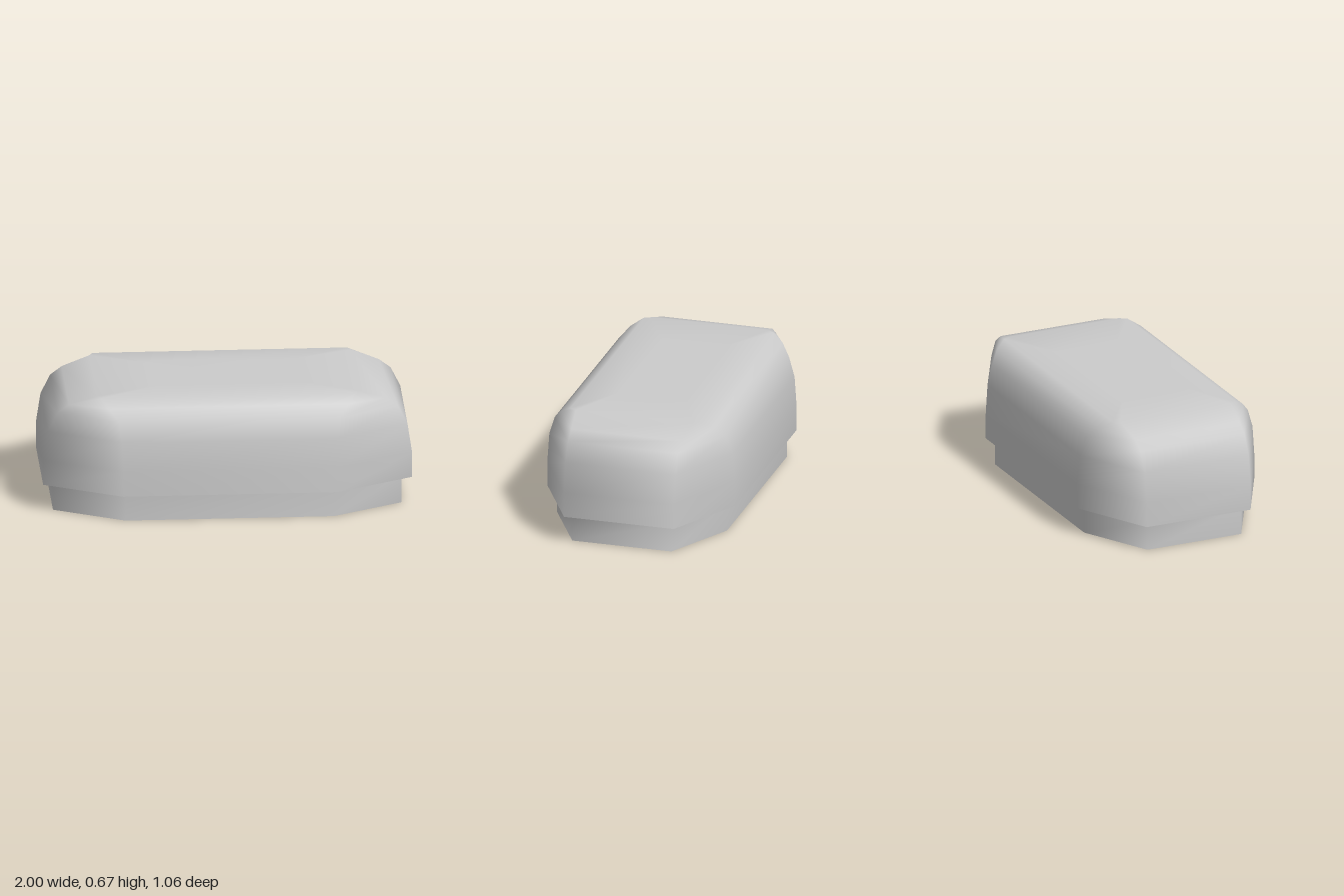
import * as THREE from 'three';

// Chamfered-rectangle section: half length X, half depth Z, and where the
// chamfer starts on the long side (cx) and on the end (cz).
// ySide / yEnd are the heights of the long-side and end corners.
function section([X, Z, cx, cz, ySide, yEnd = ySide]) {
  return [
    [X, yEnd, cz], [X, yEnd, -cz], [cx, ySide, -Z], [-cx, ySide, -Z],
    [-X, yEnd, -cz], [-X, yEnd, cz], [-cx, ySide, Z], [cx, ySide, Z],
  ];
}

// Joins sections from bottom to top; caps share vertices when smooth.
function loft(sections, smoothTop) {
  const pos = [], index = [];
  const n = 8;
  const add = (ring) => {
    const start = pos.length / 3;
    ring.forEach((p) => pos.push(...p));
    return start;
  };
  const rings = sections.map(section);
  const starts = rings.map(add);
  for (let r = 0; r < starts.length - 1; r++) {
    for (let i = 0; i < n; i++) {
      const j = (i + 1) % n;
      const a = starts[r] + i, b = starts[r] + j;
      const c = starts[r + 1] + j, d = starts[r + 1] + i;
      index.push(a, b, c, a, c, d);
    }
  }
  const last = rings.length - 1;
  const top = smoothTop ? starts[last] : add(rings[last]);
  const bottom = add(rings[0]);
  for (let i = 1; i < n - 1; i++) {
    index.push(top, top + i, top + i + 1);
    index.push(bottom, bottom + i + 1, bottom + i);
  }
  const geometry = new THREE.BufferGeometry();
  geometry.setAttribute('position', new THREE.Float32BufferAttribute(pos, 3));
  geometry.setIndex(index);
  geometry.computeVertexNormals();
  return geometry;
}

export function createModel() {
  const group = new THREE.Group();
  const material = new THREE.MeshStandardMaterial({ color: 0xcccccc });

  // Recessed plinth
  const base = new THREE.Mesh(loft([
    [0.945, 0.48, 0.565, 0.28, 0],
    [0.945, 0.48, 0.565, 0.28, 0.16],
  ], false), material);
  base.name = 'base';

  // Domed shell with a faintly crowned top
  const shell = new THREE.Mesh(loft([
    [1.0, 0.53, 0.58, 0.31, 0.155],
    [1.0, 0.53, 0.58, 0.31, 0.295],
    [0.975, 0.517, 0.585, 0.31, 0.46],
    [0.923, 0.482, 0.6, 0.31, 0.565],
    [0.86, 0.43, 0.65, 0.31, 0.625, 0.613],
    [0.71, 0.367, 0.69, 0.33, 0.664],
    [0.41, 0.2, 0.39, 0.18, 0.668],
  ], true), material);
  shell.name = 'shell';

  group.add(base, shell);
  return group;
}
